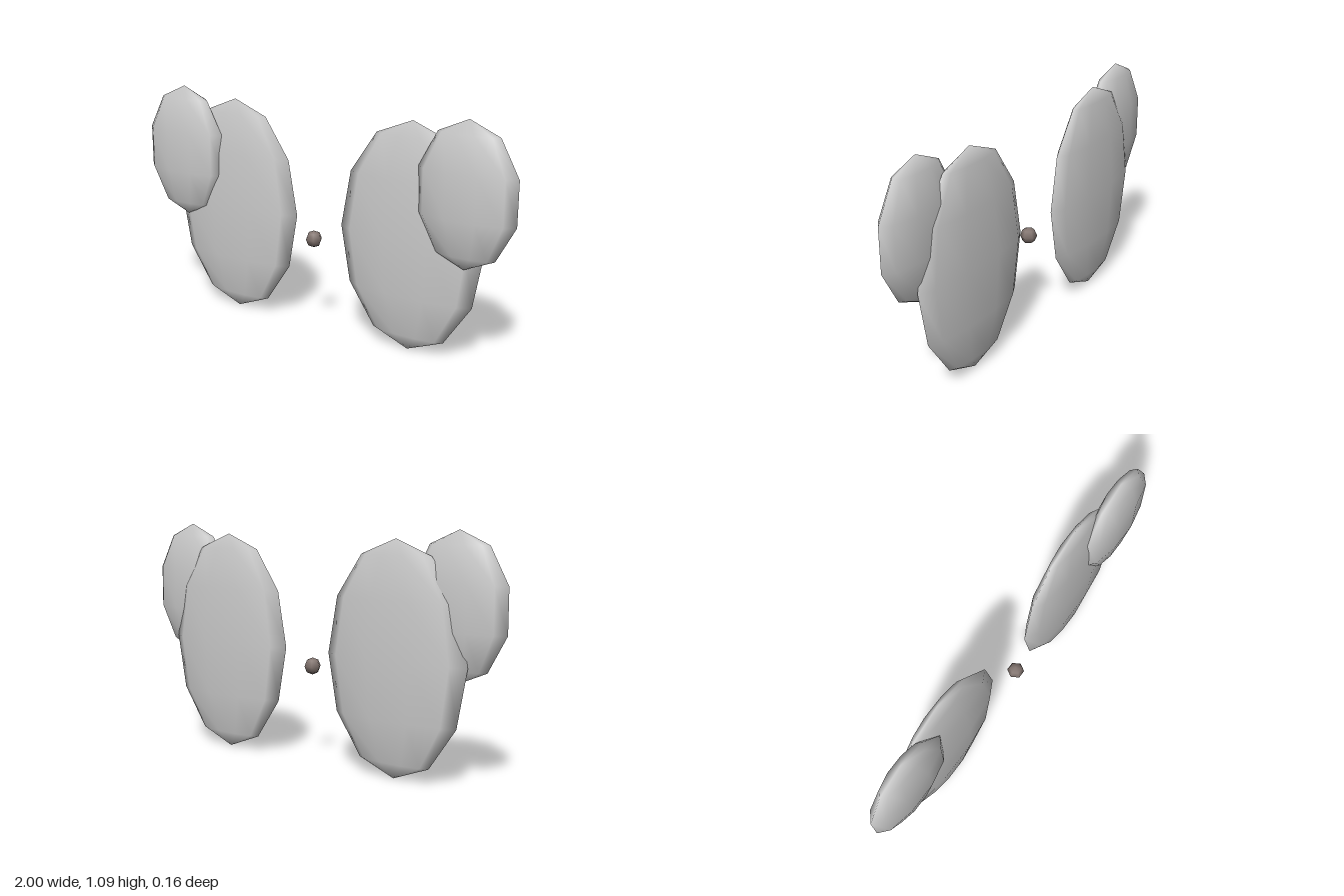
import * as THREE from 'three';

const pale = new THREE.MeshStandardMaterial({ color: 0xcccccc });
const dark = new THREE.MeshStandardMaterial({ color: 0x82746f });

// Low-poly sphere stretched to the given radii, with smooth normals
function ellipsoid(name, material, segments, rings, radii, position) {
  const geometry = new THREE.SphereGeometry(1, segments, rings);
  geometry.scale(...radii);
  const mesh = new THREE.Mesh(geometry, material);
  mesh.name = name;
  mesh.position.set(...position);
  return mesh;
}

export function createModel() {
  const model = new THREE.Group();
  model.name = 'model';

  // Each side: a large flat lobe with a smaller one overlapping its upper outer front
  for (const [side, s] of [['left', 1], ['right', -1]]) {
    const pair = new THREE.Group();
    pair.name = `${side}Lobes`;
    pair.add(
      ellipsoid(`${side}LargeLobe`, pale, 10, 6, [0.36, 0.523, 0.063], [s * 0.485, 0.527, -0.021]),
      ellipsoid(`${side}SmallLobe`, pale, 10, 5, [0.242, 0.322, 0.069], [s * 0.77, 0.77, 0.021])
    );
    model.add(pair);
  }

  // Small dark bead in the middle
  model.add(ellipsoid('centreBead', dark, 6, 4, [0.04, 0.04, 0.04], [0, 0.447, 0.02]));

  return model;
}
